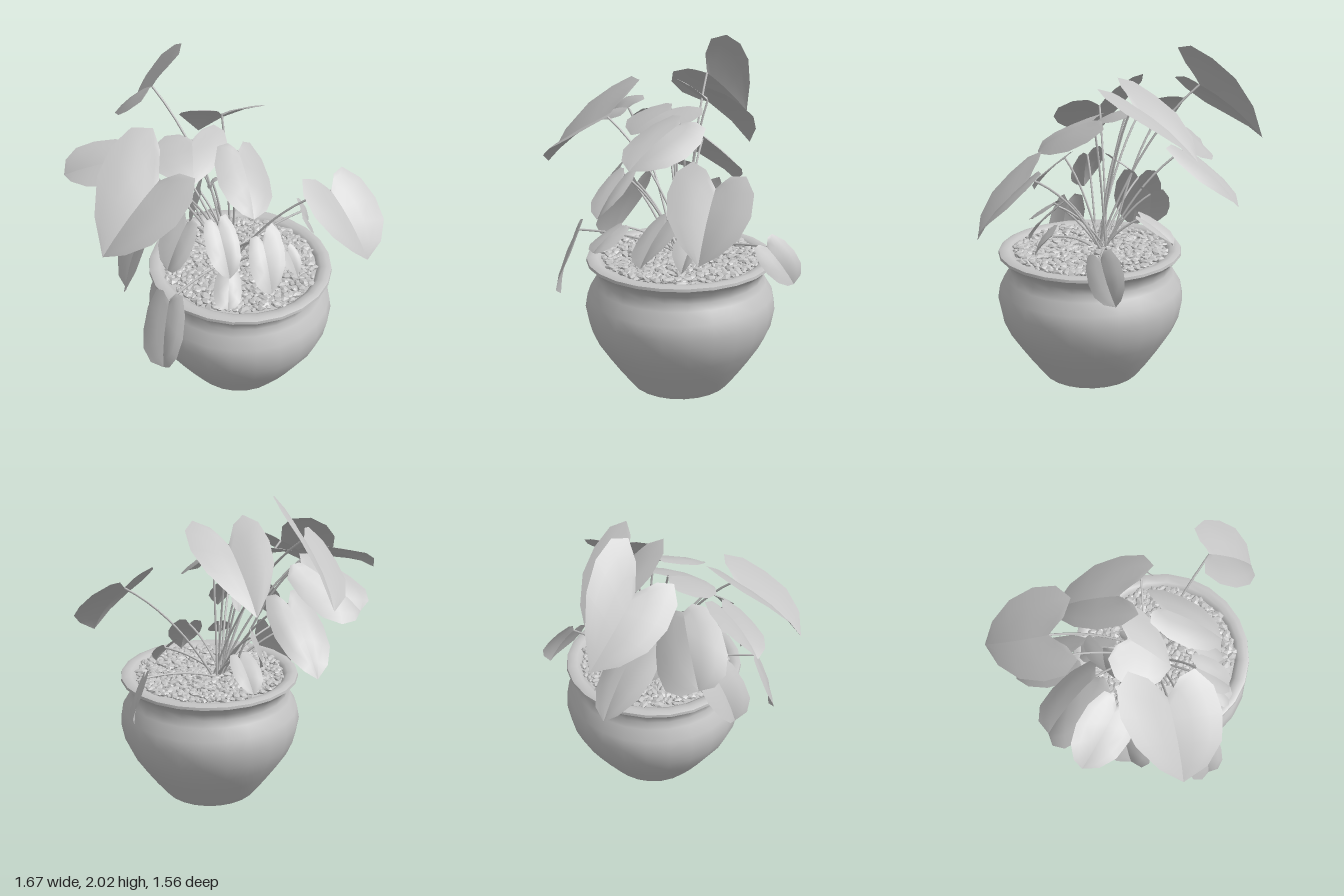
import * as THREE from 'three';
import { mergeGeometries, toCreasedNormals } from 'three/addons/utils/BufferGeometryUtils.js';

const V = (a) => new THREE.Vector3(...a);

// Half-leaf rows: [midrib u, edge u, edge v]; u runs notch to tip, v runs midrib to side
const ROWS = [
  [0, -0.24, 0.3], [0.03, -0.35, 0.65], [0.1, -0.18, 0.94], [0.25, 0.12, 1],
  [0.5, 0.45, 0.85], [0.78, 0.76, 0.48], [1, 1, 0],
];
const COLS = [0, 0.35, 0.7, 1];

// Heart-shaped blade from its notch, its tip and the widest point of each half
function leafGeometry(notch, tip, sideA, sideB) {
  const axis = tip.clone().sub(notch);
  const length = axis.length();
  const normal = axis.clone().cross(sideA.clone().sub(sideB)).normalize();
  if (normal.y < 0) normal.negate();
  const positions = [], index = [];
  [sideA, sideB].forEach((side, h) => {
    const across = side.clone().sub(notch);
    const start = positions.length / 3;
    for (const [um, ue, ve] of ROWS) {
      for (const c of COLS) {
        const u = um + (ue - um) * c, v = ve * c;
        const back = Math.min(u, 0);
        const lift = length * (0.22 * Math.max(u, 0) * (1 - u) + 0.12 * v * (1 - v) - 0.5 * back * back);
        const p = notch.clone().addScaledVector(axis, u).addScaledVector(across, v)
          .addScaledVector(normal, lift);
        positions.push(p.x, p.y, p.z);
      }
    }
    const n = COLS.length;
    for (let r = 0; r < ROWS.length - 1; r++) {
      for (let c = 0; c < n - 1; c++) {
        const a = start + r * n + c, b = a + 1, d = a + n, e = d + 1;
        if (h) index.push(a, b, d, b, e, d);
        else index.push(a, d, b, b, d, e);
      }
    }
  });
  const g = new THREE.BufferGeometry();
  g.setAttribute('position', new THREE.Float32BufferAttribute(positions, 3));
  g.setIndex(index);
  g.computeVertexNormals();
  return g;
}

export function createModel() {
  const model = new THREE.Group();
  model.name = 'pottedPlant';
  const grey = new THREE.MeshStandardMaterial({ color: 0xc4c4c4, side: THREE.DoubleSide });
  grey.name = 'plain grey';
  let seed = 7;
  const rand = () => (seed = (seed * 16807) % 2147483647) / 2147483647;
  const add = (name, geometry, parent) => {
    const mesh = new THREE.Mesh(geometry, grey);
    mesh.name = name;
    parent.add(mesh);
    return mesh;
  };

  // Pot with a rolled rim
  const pot = new THREE.Group();
  pot.name = 'pot';
  pot.position.set(0.107, 0, 0.222);
  model.add(pot);
  const profile = [
    [0, 0], [0.3, 0], [0.37, 0.09], [0.44, 0.19], [0.505, 0.29], [0.545, 0.38], [0.566, 0.49],
    [0.552, 0.57], [0.51, 0.64], [0.49, 0.68], [0.495, 0.72], [0.53, 0.757], [0.555, 0.777],
    [0.552, 0.793], [0.525, 0.803], [0.49, 0.797], [0.465, 0.78], [0.455, 0.74],
  ].map(([x, y]) => new THREE.Vector2(x, y));
  add('potBody', toCreasedNormals(new THREE.LatheGeometry(profile, 24), 0.8), pot);

  // Soil and a spiral layer of angular pebbles
  const soil = add('soil', new THREE.CircleGeometry(0.465, 24), pot);
  soil.rotation.x = -Math.PI / 2;
  soil.position.y = 0.775;
  const pebbles = [];
  const count = 560;
  for (let i = 0; i < count; i++) {
    const r = 0.455 * Math.sqrt((i + 0.5) / count), a = i * 2.39996;
    const size = 0.7 + rand() * 0.7;
    const g = new THREE.IcosahedronGeometry(1, 0);
    g.rotateX(rand() * 6);
    g.scale(0.03 * size, 0.013 * size, 0.02 * size);
    g.rotateZ((rand() - 0.5) * 0.6);
    g.rotateY(rand() * Math.PI);
    g.translate(r * Math.cos(a) + (rand() - 0.5) * 0.015, 0.783 + rand() * 0.014,
      r * Math.sin(a) + (rand() - 0.5) * 0.015);
    pebbles.push(g);
  }
  add('pebbles', mergeGeometries(pebbles), pot);

  // Each leaf hangs on a thin stem arching out of the crown
  const leaf = (name, notch, tip, sideA, sideB) => {
    const group = new THREE.Group();
    group.name = name;
    model.add(group);
    const end = V(notch);
    add('blade', leafGeometry(end, V(tip), V(sideA), V(sideB)), group);
    const root = new THREE.Vector3(0.06 + (rand() - 0.5) * 0.1, 0.77, 0.15 + (rand() - 0.5) * 0.1);
    const bend = root.clone().lerp(end, 0.42);
    bend.y = Math.max(0.78 + (end.y - 0.78) * 0.72, 0.9);
    const curve = new THREE.QuadraticBezierCurve3(root, bend, end);
    add('stem', new THREE.TubeGeometry(curve, 10, 0.007, 5), group);
  };

  // Upper leaves
  leaf('topBackLeaf', [-0.19, 1.76, -0.39], [-0.165, 1.46, -0.775], [0.0, 1.98, -0.43], [-0.4, 1.64, -0.35]);
  leaf('backCentreLeaf', [0.1, 1.68, -0.04], [0.12, 1.36, -0.43], [0.34, 1.71, 0.01], [-0.12, 1.73, -0.08]);
  leaf('backRightLeaf', [-0.33, 1.54, -0.13], [-0.6, 1.27, -0.38], [-0.62, 1.44, -0.14], [-0.3, 1.3, -0.35]);
  leaf('backLowLeaf', [-0.15, 1.36, -0.3], [-0.15, 1.02, -0.65], [0.0, 1.25, -0.37], [-0.32, 1.27, -0.37]);
  leaf('rightLeaf', [-0.5, 1.56, 0.0], [-0.83, 1.45, -0.16], [-0.58, 1.6, -0.19], [-0.62, 1.48, 0.1]);
  leaf('frontRightLeaf', [-0.42, 1.56, 0.27], [-0.81, 1.25, 0.4], [-0.55, 1.72, 0.01], [-0.4, 1.5, 0.56]);
  leaf('frontLeftLeaf', [0.56, 1.34, 0.46], [0.67, 1.0, 0.74], [0.82, 1.28, 0.47], [0.35, 1.35, 0.59]);
  leaf('centreLeaf', [-0.12, 1.61, 0.03], [-0.22, 1.48, 0.28], [0.09, 1.58, 0.05], [-0.37, 1.56, 0.02]);
  leaf('frontCentreLeaf', [0.09, 1.58, 0.2], [0.02, 1.36, 0.56], [0.24, 1.44, 0.27], [-0.1, 1.52, 0.32]);
  leaf('innerSmallLeaf', [-0.02, 1.33, 0.1], [0.02, 1.25, -0.02], [0.05, 1.3, 0.02], [-0.06, 1.32, 0.13]);

  // Small and drooping lower leaves
  leaf('frontMiddleLeaf', [-0.14, 1.28, 0.43], [-0.16, 1.06, 0.64], [-0.05, 1.23, 0.5], [-0.25, 1.22, 0.5]);
  leaf('sideMiddleLeaf', [-0.28, 1.27, 0.32], [-0.43, 1.02, 0.38], [-0.3, 1.15, 0.43], [-0.38, 1.24, 0.24]);
  leaf('sideDroopingLeaf', [-0.42, 1.1, 0.02], [-0.58, 0.71, 0.09], [-0.48, 0.99, -0.12], [-0.53, 0.97, 0.2]);
  leaf('rightDroopingLeaf', [-0.47, 0.9, 0.5], [-0.55, 0.49, 0.58], [-0.43, 0.76, 0.62], [-0.59, 0.74, 0.42]);
  leaf('leftDroopingLeaf', [0.61, 0.91, 0.05], [0.73, 0.68, -0.06], [0.68, 0.89, -0.09], [0.64, 0.8, 0.12]);
  leaf('frontLowLeaf', [0.16, 1.06, 0.4], [0.13, 0.82, 0.6], [0.28, 1.04, 0.43], [0.04, 0.97, 0.48]);
  leaf('frontTinyLeaf', [-0.1, 1.0, 0.5], [-0.18, 0.86, 0.66], [-0.06, 0.92, 0.59], [-0.22, 0.93, 0.55]);
  leaf('leftTinyLeaf', [0.33, 0.93, 0.4], [0.35, 0.81, 0.5], [0.39, 0.92, 0.42], [0.24, 0.95, 0.43]);
  leaf('backTinyLeaf', [0.0, 1.12, -0.13], [-0.08, 0.9, -0.1], [0.03, 1.08, -0.25], [-0.1, 1.06, 0.0]);
  leaf('backSmallLeaf', [0.05, 0.98, -0.08], [0.06, 0.82, -0.28], [0.14, 0.93, -0.16], [-0.04, 0.94, -0.16]);
  return model;
}
